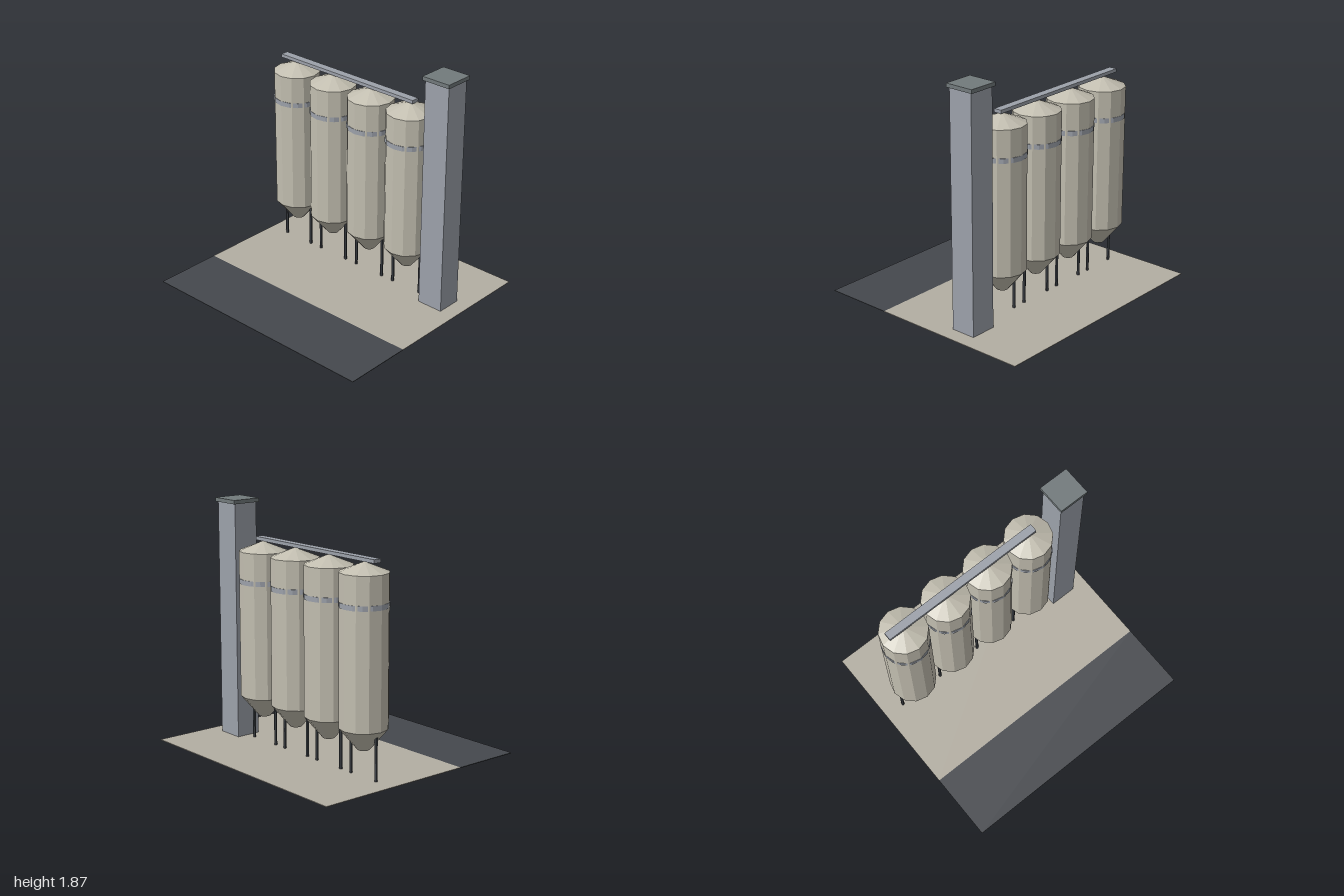
import * as THREE from 'three';

const mat = (name, color) => {
  const m = new THREE.MeshStandardMaterial({ color, flatShading: true });
  m.name = name;
  return m;
};

export function createModel() {
  const root = new THREE.Group();
  root.name = 'grainSilos';
  const silo = mat('silo metal', 0xc2beb0);
  const steel = mat('grey steel', 0x9ca1aa);
  const cap = mat('cap grey', 0x727a7c);
  const dark = mat('leg steel', 0x42464c);
  const concrete = mat('concrete', 0xb3aea2);
  const asphalt = mat('asphalt', 0x45484d);
  const Z = -0.315;

  const add = (parent, name, geo, m, x, y, z) => {
    const mesh = new THREE.Mesh(geo, m);
    mesh.name = name;
    mesh.position.set(x, y, z);
    parent.add(mesh);
    return mesh;
  };
  // box given by its centre in x and z, and its bottom and top
  const box = (name, m, x, z, w, d, y0, y1) =>
    add(root, name, new THREE.BoxGeometry(w, y1 - y0, d), m, x, (y0 + y1) / 2, z);
  // upright prism or cone between two heights
  const drum = (parent, name, m, rTop, rBottom, y0, y1, sides, x = 0) =>
    add(parent, name, new THREE.CylinderGeometry(rTop, rBottom, y1 - y0, sides), m, x, (y0 + y1) / 2, 0);

  // yard and road
  box('yard', concrete, 0, -0.273, 2, 1.286, 0.002, 0.007);
  box('road', asphalt, 0, 0.642, 2, 0.544, 0.002, 0.007);

  // row of four silos
  for (let i = 0; i < 4; i++) {
    const g = new THREE.Group();
    g.name = 'silo' + (i + 1);
    g.position.set(-0.7 + i * 0.383, 0, Z);
    root.add(g);
    drum(g, 'body', silo, 0.183, 0.183, 0.38, 1.505, 12);
    drum(g, 'roof', silo, 0, 0.183, 1.505, 1.578, 12);
    drum(g, 'hopper', silo, 0.183, 0.045, 0.215, 0.38, 12);
    drum(g, 'band', steel, 0.184, 0.184, 1.258, 1.296, 16);
    for (const s of [-1, 1]) drum(g, 'leg', dark, 0.012, 0.012, 0, 0.38, 6, s * 0.134);
  }

  // conveyor over the roofs
  box('conveyor', steel, -0.17, Z, 1.33, 0.064, 1.583, 1.61);

  // elevator tower
  box('tower', steel, 0.768, Z, 0.214, 0.2, 0, 1.845);
  box('towerCap', cap, 0.768, Z, 0.24, 0.235, 1.842, 1.872);

  return root;
}
